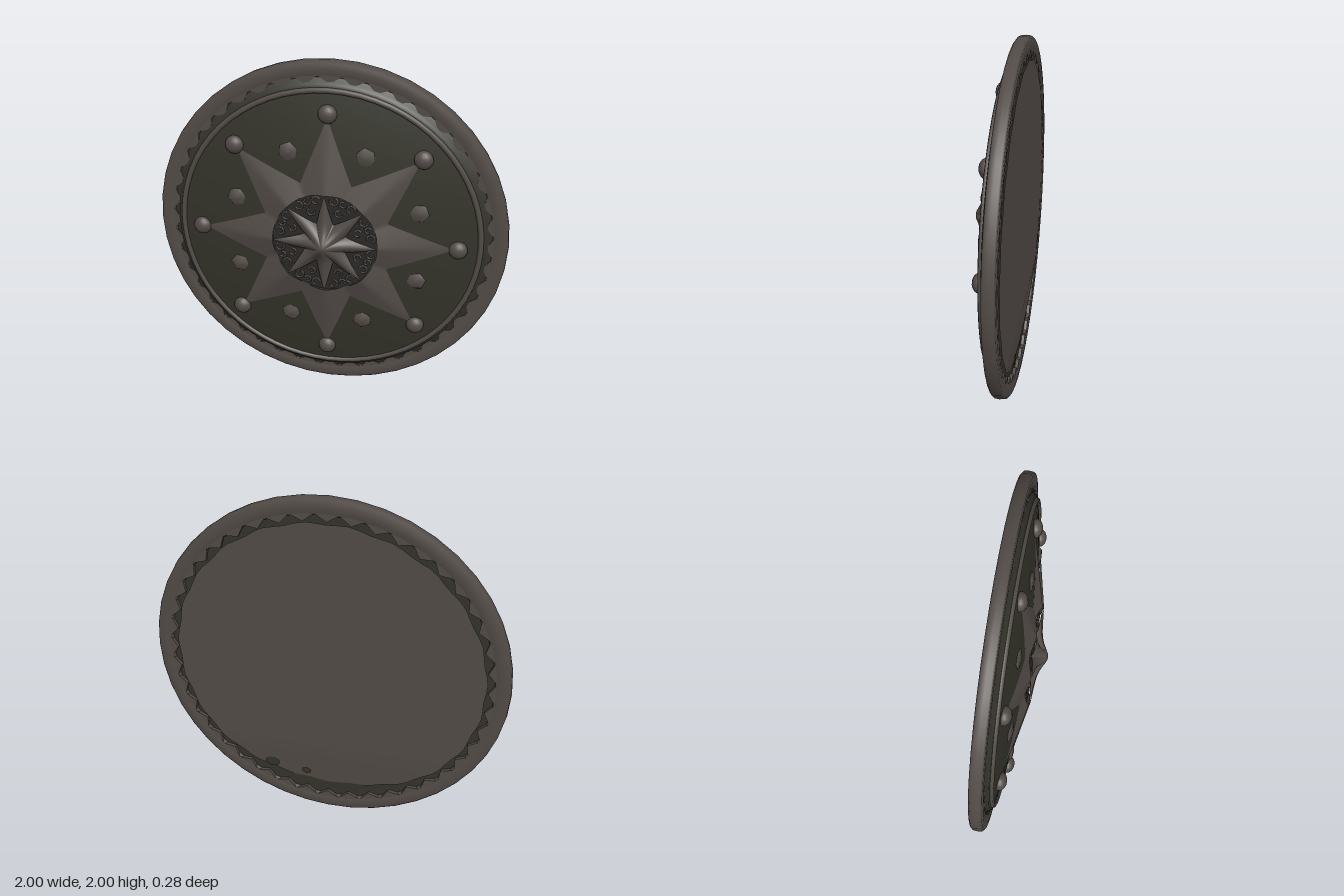
import * as THREE from 'three';
import { mergeGeometries } from 'three/addons/utils/BufferGeometryUtils.js';

const mat = (name, color, side = THREE.FrontSide) => {
  const m = new THREE.MeshStandardMaterial({ color, side });
  m.name = name;
  return m;
};

// Height of the domed face at radius r
const domeZ = (r) => 0.04 - 0.085 * (r / 0.86) ** 2;

// Profile of [radius, z] pairs turned about the z axis
function turned(profile, segments) {
  const g = new THREE.LatheGeometry(profile.map(([r, z]) => new THREE.Vector2(r, z)), segments);
  return g.rotateX(Math.PI / 2);
}

// Polar sheet: point(angle, t) gives [radius, z], t running from inside to outside
function polarSheet(columns, rows, point, back = false) {
  const pos = [], index = [];
  for (let j = 0; j <= rows; j++) {
    for (let i = 0; i < columns; i++) {
      const a = (i / columns) * Math.PI * 2;
      const [r, z] = point(a, j / rows);
      pos.push(Math.cos(a) * r, Math.sin(a) * r, z);
      if (j === rows) continue;
      const k = (i + 1) % columns;
      const p = j * columns + i, q = j * columns + k, s = p + columns, u = q + columns;
      if (back) index.push(p, u, s, p, q, u);
      else index.push(p, s, u, p, u, q);
    }
  }
  const g = new THREE.BufferGeometry();
  g.setAttribute('position', new THREE.Float32BufferAttribute(pos, 3));
  g.setIndex(index);
  g.computeVertexNormals();
  return g;
}

// Outline radius of an eight-pointed star: straight edge from tip to valley
function starRadius(a, tip, valley) {
  const step = Math.PI / 4;
  const d = Math.abs(a - Math.round(a / step) * step);
  const vx = valley * Math.cos(step / 2), vy = valley * Math.sin(step / 2);
  return (tip * vy) / (Math.cos(d) * vy + Math.sin(d) * (tip - vx));
}
// 0 on a star ridge, 1 in a valley
const offRidge = (a) => {
  const step = Math.PI / 4;
  return Math.abs(a - Math.round(a / step) * step) / (step / 2);
};

export function createModel() {
  const shield = new THREE.Group();
  shield.name = 'shield';
  shield.position.y = 1;

  const bronze = mat('brown metal', 0x524b47, THREE.DoubleSide);
  const field = mat('dark olive', 0x33332a);
  const recess = mat('dark recess', 0x2b2928);

  const add = (name, geometry, material) => {
    const m = new THREE.Mesh(geometry, material);
    m.name = name;
    shield.add(m);
    return m;
  };

  // Domed field with a flat back and a stepped edge
  const face = [[0, -0.118], [0.9, -0.118], [0.95, -0.11], [0.95, -0.085], [0.89, -0.07], [0.88, -0.05], [0.86, -0.045]];
  for (let r = 0.75; r > 0.01; r -= 0.125) face.push([r, domeZ(r)]);
  face.push([0, domeZ(0)]);
  add('field', turned(face, 64), field);

  // Rounded outer rim
  const rim = [];
  for (let i = 0; i <= 12; i++) {
    const a = -Math.PI + (i / 12) * Math.PI * 2;
    const c = Math.cos(a), s = Math.sin(a);
    rim.push([0.955 + 0.045 * Math.sign(c) * Math.sqrt(Math.abs(c)), -0.102 + 0.037 * Math.sign(s) * Math.sqrt(Math.abs(s))]);
  }
  add('rim', turned(rim, 44), bronze);

  // Zigzag inner edge of the rim, seen on both sides
  const teeth = new THREE.Shape();
  teeth.absarc(0, 0, 0.95, 0, Math.PI * 2);
  const notch = new THREE.Path();
  const count = 44;
  for (let i = 0; i < count * 2; i++) {
    const a = (i / (count * 2)) * Math.PI * 2;
    const r = i % 2 ? 0.922 : 0.878;
    notch[i ? 'lineTo' : 'moveTo'](r * Math.cos(a), r * Math.sin(a));
  }
  notch.closePath();
  teeth.holes.push(notch);
  const teethGeo = new THREE.ExtrudeGeometry(teeth, { depth: 0.068, bevelEnabled: false, curveSegments: 44 });
  add('rimTeeth', teethGeo.translate(0, 0, -0.136), bronze);

  // Thin raised ring around the field
  const ring = new THREE.TorusGeometry(0.85, 0.016, 8, 64);
  add('innerRing', ring.translate(0, 0, -0.044), bronze);

  // Large star with an open round centre
  const outerStar = polarSheet(128, 6, (a, t) => {
    const R = starRadius(a, 0.71, 0.37);
    const zIn = 0.07 - 0.025 * offRidge(a);
    return [THREE.MathUtils.lerp(0.295, R, t), THREE.MathUtils.lerp(zIn, domeZ(R) + 0.002, t)];
  });
  add('largeStar', outerStar, bronze);

  // Sunken medallion with scrollwork between the star points
  add('medallion', new THREE.CircleGeometry(0.3, 48).translate(0, 0, 0.043), recess);
  const scrolls = [];
  for (let k = 0; k < 8; k++) {
    const mid = (k + 0.5) * Math.PI / 4;
    for (const [r, da, size] of [[0.262, -0.2, 0.022], [0.262, 0.2, 0.022], [0.262, 0, 0.017], [0.2, 0, 0.02]]) {
      const curl = new THREE.TorusGeometry(size, 0.006, 5, 12, 4.8);
      curl.rotateZ(mid + da * 8);
      scrolls.push(curl.translate(r * Math.cos(mid + da), r * Math.sin(mid + da), 0.046));
    }
  }
  add('scrollwork', mergeGeometries(scrolls), bronze);

  // Small star rising into the central boss
  const innerStar = polarSheet(128, 12, (a, t) => {
    const R = starRadius(a, 0.3, 0.125);
    const r = R * t;
    const boss = 0.04 * Math.exp(-((r / 0.075) ** 2));
    const ridge = 0.096 - 0.09 * r;
    return [r, ridge + boss - 0.04 * offRidge(a) * t * t];
  });
  add('smallStarAndBoss', innerStar, bronze);

  // Studs at the star tips and low faceted bosses between the points
  for (let k = 0; k < 8; k++) {
    const a = k * Math.PI / 4;
    const stud = add('tipStud', new THREE.SphereGeometry(0.052, 16, 10), bronze);
    stud.scale.z = 0.75;
    stud.position.set(0.73 * Math.cos(a), 0.73 * Math.sin(a), -0.018);

    const b = a + Math.PI / 8;
    const knob = add('fieldBoss', turned([[0.058, -0.006], [0.045, 0.01], [0, 0.016]], 6), bronze);
    knob.position.set(0.55 * Math.cos(b), 0.55 * Math.sin(b), domeZ(0.55));
    knob.rotation.z = b;
  }

  // Back lining, folded in and drawn up along the bottom
  const lining = polarSheet(96, 16, (a, t) => {
    const low = Math.max(0, -Math.sin(a)) ** 6;
    const r = t * (0.87 - 0.06 * low + 0.006 * Math.sin(a * 23));
    const fold = Math.max(0, -r * Math.sin(a) - 0.6);
    return [r, -0.137 + fold * 0.06];
  }, true);
  add('backLining', lining, bronze);

  // Worn spots in the lining
  for (const [x, y, s] of [[0.34, -0.72, 0.045], [0.13, -0.745, 0.03]]) {
    const spot = add('wornSpot', new THREE.CircleGeometry(s, 10), field);
    spot.rotation.y = Math.PI;
    spot.scale.y = 0.7;
    spot.position.set(x, y, -0.139);
  }
  return shield;
}
